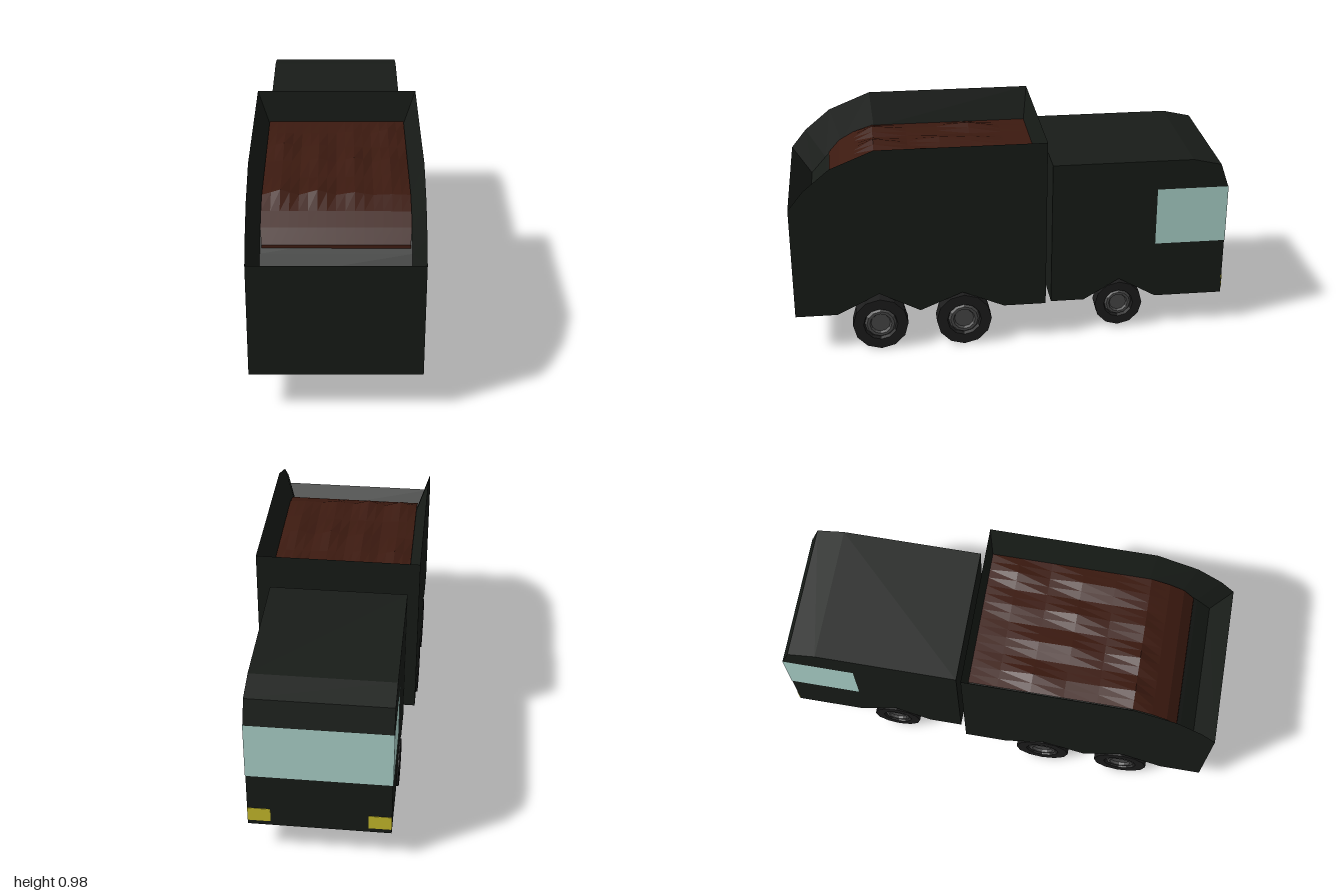
import * as THREE from 'three';

const mat = (color, extra = {}) => new THREE.MeshStandardMaterial({ color, flatShading: true, ...extra });
const body = mat(0x181c18);
const soil = mat(0x3c1a10, { side: THREE.DoubleSide });
const glass = mat(0xb0d8d0, { side: THREE.DoubleSide });
const lamp = mat(0xccc02c);
const rubber = mat(0x1c1c1c);
const metal = mat(0x484848);

function add(parent, name, geometry, material) {
  const mesh = new THREE.Mesh(geometry, material);
  mesh.name = name;
  parent.add(mesh);
  return mesh;
}

// Faceted surface through rows of [x, y, z] points
function grid(rows) {
  const p = [];
  for (let i = 0; i + 1 < rows.length; i++) {
    for (let j = 0; j + 1 < rows[i].length; j++) {
      const a = rows[i][j], b = rows[i][j + 1], c = rows[i + 1][j + 1], d = rows[i + 1][j];
      p.push(...a, ...b, ...c, ...a, ...c, ...d);
    }
  }
  const g = new THREE.BufferGeometry();
  g.setAttribute('position', new THREE.Float32BufferAttribute(p, 3));
  g.computeVertexNormals();
  return g;
}

// Shape from a side profile of [z, y] points
const sideShape = (profile, sign) => new THREE.Shape(profile.map(([z, y]) => new THREE.Vector2(sign * z, y)));

function makeBed() {
  const bed = new THREE.Group();
  bed.name = 'cargoBed';
  const X = 0.37, IN = 0.317;
  const rim = [[-0.15, 0.985], [0.615, 0.985], [0.81, 0.905], [0.93, 0.805], [1, 0.717]];
  const inner = [[-0.13, 0.825], [0.6, 0.825], [0.76, 0.755], [0.84, 0.68], [0.91, 0.6]];
  // underside with two wheel arches, from tail to front
  const under = [[1, 0.183], [0.81, 0.183], [0.615, 0.28], [0.43, 0.183], [0.235, 0.265], [0.045, 0.183], [-0.15, 0.183]];

  // tailgate, underside, front wall and floor in one closed band
  const wide = ([z, y]) => [[X, y, z], [-X, y, z]];
  const narrow = ([z, y]) => [[IN, y, z], [-IN, y, z]];
  add(bed, 'bedShell', grid([wide(rim[4]), ...under.map(wide), wide(rim[0]), ...inner.map(narrow), wide(rim[4])]), body);

  // outer and sloping inner side walls
  const outline = [...rim, ...under];
  for (const s of [1, -1]) {
    const g = new THREE.ShapeGeometry(sideShape(outline, -s));
    g.rotateY(s * Math.PI / 2);
    g.translate(s * X, 0, 0);
    add(bed, 'bedSide', g, body);
    const top = rim.map(([z, y]) => [s * X, y, z]);
    const low = inner.map(([z, y]) => [s * IN, y, z]);
    add(bed, 'bedInnerWall', grid(s > 0 ? [low, top] : [top, low]), body);
  }

  // heaped load: ridged on top, rounding down towards the tail
  const load = [[-0.13, 0.835], [0, 0.835], [0.15, 0.835], [0.3, 0.835], [0.45, 0.835], [0.61, 0.835], [0.7, 0.805], [0.77, 0.765], [0.82, 0.71], [0.84, 0.6]];
  const rows = load.map(([z, y], i) => {
    const row = [];
    for (let j = 0; j <= 16; j++) {
      const t = j / 16;
      const x = IN * (1 - 2 * t) * (i > 7 ? 0.98 : 1);
      const ridge = Math.sin(t * Math.PI * 4) ** 2;
      const swell = i > 0 && i < 6 ? 0.014 + 0.012 * Math.sin(i * 2.3 + Math.floor(t * 4)) : 0;
      row.push([x, y + ridge * swell, z]);
    }
    return row;
  });
  add(bed, 'load', grid(rows), soil);
  bed.position.x = -0.005;
  return bed;
}

function makeCab() {
  const cab = new THREE.Group();
  cab.name = 'cab';
  const W = 0.312;
  const profile = [[-0.185, 0.155], [-0.185, 0.845], [-0.83, 0.845], [-0.96, 0.815], [-0.998, 0.705],
    [-0.998, 0.155], [-0.68, 0.155], [-0.505, 0.255], [-0.34, 0.155]];
  const g = new THREE.ExtrudeGeometry(sideShape(profile, -1), { depth: 2 * W, bevelEnabled: false });
  g.rotateY(Math.PI / 2);
  g.translate(-W, 0, 0);
  add(cab, 'cabBody', g, body);

  // wraparound glazing
  const x = W + 0.002, path = [[x, -0.67], [x, -1], [-x, -1], [-x, -0.67]];
  add(cab, 'windows', grid([0.43, 0.705].map(y => path.map(([px, z]) => [px, y, z]))), glass);

  // headlights at the front corners
  for (const s of [1, -1]) {
    add(cab, 'headlight', new THREE.BoxGeometry(0.1, 0.07, 0.004), lamp).position.set(s * (W - 0.05), 0.212, -0.998);
  }
  cab.position.x = -0.012;
  return cab;
}

// Wheel with its axle along x and its inner face at the origin
function makeWheel(name, r, w, side) {
  const wheel = new THREE.Group();
  wheel.name = name;
  const turn = pts => new THREE.LatheGeometry(pts.map(([a, b]) => new THREE.Vector2(a, b)), 12)
    .rotateZ(-side * Math.PI / 2);
  add(wheel, 'tyre', turn([[0, 0], [r, 0], [r, w], [0.62 * r, w], [0.56 * r, w - 0.02]]), rubber);
  add(wheel, 'hub', turn([[0.58 * r, w - 0.018], [0.5 * r, w - 0.004], [0.4 * r, w - 0.004], [0.35 * r, w - 0.016], [0, w - 0.016]]), metal);
  return wheel;
}

export function createModel() {
  const truck = new THREE.Group();
  truck.name = 'truck';
  truck.add(makeBed(), makeCab());

  // two bed axles and one cab axle
  const axles = [
    { name: 'bedWheel', z: 0.615, r: 0.127, w: 0.073, x: 0.304, cx: 0 },
    { name: 'bedWheel', z: 0.23, r: 0.127, w: 0.073, x: 0.304, cx: 0 },
    { name: 'cabWheel', z: -0.505, r: 0.112, w: 0.064, x: 0.254, cx: -0.011 },
  ];
  for (const a of axles) {
    for (const s of [1, -1]) {
      const wheel = makeWheel(a.name, a.r, a.w, s);
      wheel.position.set(a.cx + s * a.x, 0.128, a.z);
      truck.add(wheel);
    }
  }
  return truck;
}
